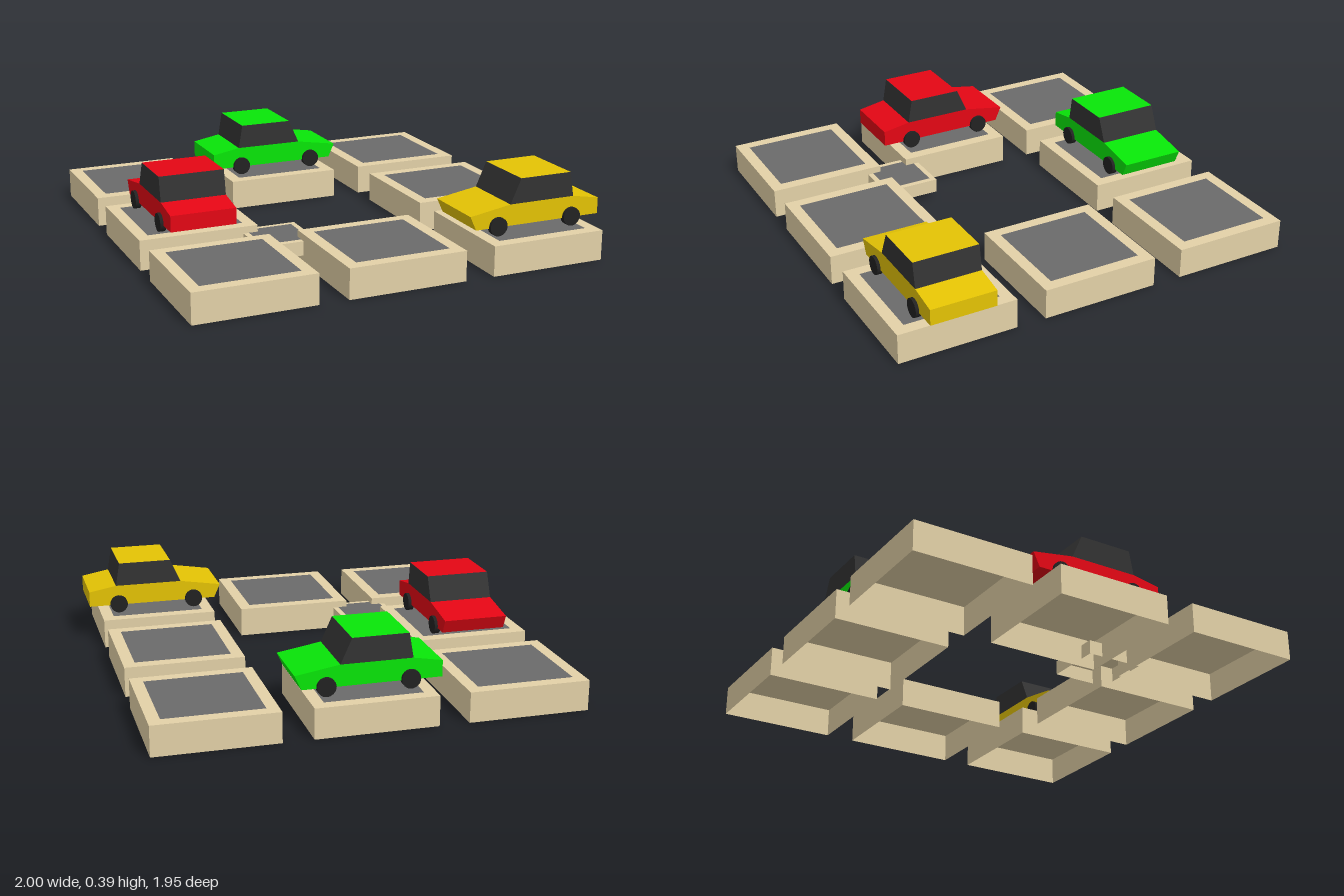
import * as THREE from 'three';

const mat = (color, side = THREE.FrontSide) => new THREE.MeshStandardMaterial({ color, side });
const stone = mat(0xe3d1a7, THREE.DoubleSide);
const slate = mat(0x6b6b6b, THREE.DoubleSide);
const glass = mat(0x333333);
const rubber = mat(0x222222);

function add(parent, name, geometry, material, x = 0, y = 0, z = 0) {
  const mesh = new THREE.Mesh(geometry, material);
  mesh.name = name;
  mesh.position.set(x, y, z);
  parent.add(mesh);
  return mesh;
}

// Box shell without a floor, with a dark square laid on its top
function makeTile(name, size, inner, height) {
  const tile = new THREE.Group();
  tile.name = name;
  const shell = new THREE.BoxGeometry(size, height, size);
  const index = Array.from(shell.index.array);
  index.splice(18, 6); // the downward face
  shell.setIndex(index);
  shell.clearGroups();
  add(tile, 'tileShell', shell, stone, 0, height / 2, 0);
  const panel = new THREE.PlaneGeometry(inner, inner).rotateX(-Math.PI / 2);
  add(tile, 'tilePanel', panel, slate, 0, height + 0.001, 0);
  return tile;
}

// Side profile (x forward, y up) extruded across the car's width
function extrudeAcross(points, width) {
  const shape = new THREE.Shape(points.map(([x, y]) => new THREE.Vector2(x, y)));
  return new THREE.ExtrudeGeometry(shape, { depth: width, bevelEnabled: false })
    .translate(0, 0, -width / 2);
}

// Car heading along +x, wheels resting on y = 0.14
function makeCar(name, color) {
  const car = new THREE.Group();
  car.name = name;
  const paint = mat(color);
  const width = 0.308;

  const body = [[-0.3315, 0.178], [0.303, 0.178], [0.333, 0.244],
    [0.131, 0.277], [-0.197, 0.277], [-0.3315, 0.253]];
  add(car, 'body', extrudeAcross(body, width), paint);

  const cabin = [[-0.197, 0.277], [0.131, 0.277], [0.08, 0.391], [-0.177, 0.391]];
  add(car, 'cabin', extrudeAcross(cabin, width), glass);

  const roof = new THREE.PlaneGeometry(0.257, width).rotateX(-Math.PI / 2);
  add(car, 'roof', roof, paint, -0.0485, 0.392, 0);

  const wheel = new THREE.CylinderGeometry(0.043, 0.043, 0.028, 24).rotateX(Math.PI / 2);
  for (const x of [-0.186, 0.194]) {
    for (const side of [-1, 1]) add(car, 'wheel', wheel, rubber, x, 0.184, side * 0.155);
  }
  return car;
}

export function createModel() {
  const model = new THREE.Group();
  model.name = 'parkingTiles';
  const columns = [-0.7215, -0.0265, 0.6685];
  const rows = [-0.6975, 0, 0.6975];

  // Ring of eight tiles around an empty centre
  columns.forEach((x, i) => rows.forEach((z, j) => {
    if (i === 1 && j === 1) return;
    const tile = makeTile('tile', 0.557, 0.447, 0.14);
    tile.position.set(x, 0, z);
    model.add(tile);
  }));

  // Small raised tile joining three corners
  const small = makeTile('smallTile', 0.275, 0.224, 0.067);
  small.position.set(-0.374, 0.04, 0.348);
  model.add(small);

  // Cars: name, colour, x, z, heading
  const cars = [
    ['greenCar', 0x08e608, columns[1], rows[0], 0],
    ['redCar', 0xe40614, -0.719, 0.003, Math.PI / 2],
    ['yellowCar', 0xe4c304, columns[2], rows[2], Math.PI],
  ];
  for (const [name, color, x, z, heading] of cars) {
    const car = makeCar(name, color);
    car.position.set(x, 0, z);
    car.rotation.y = heading;
    model.add(car);
  }
  return model;
}
